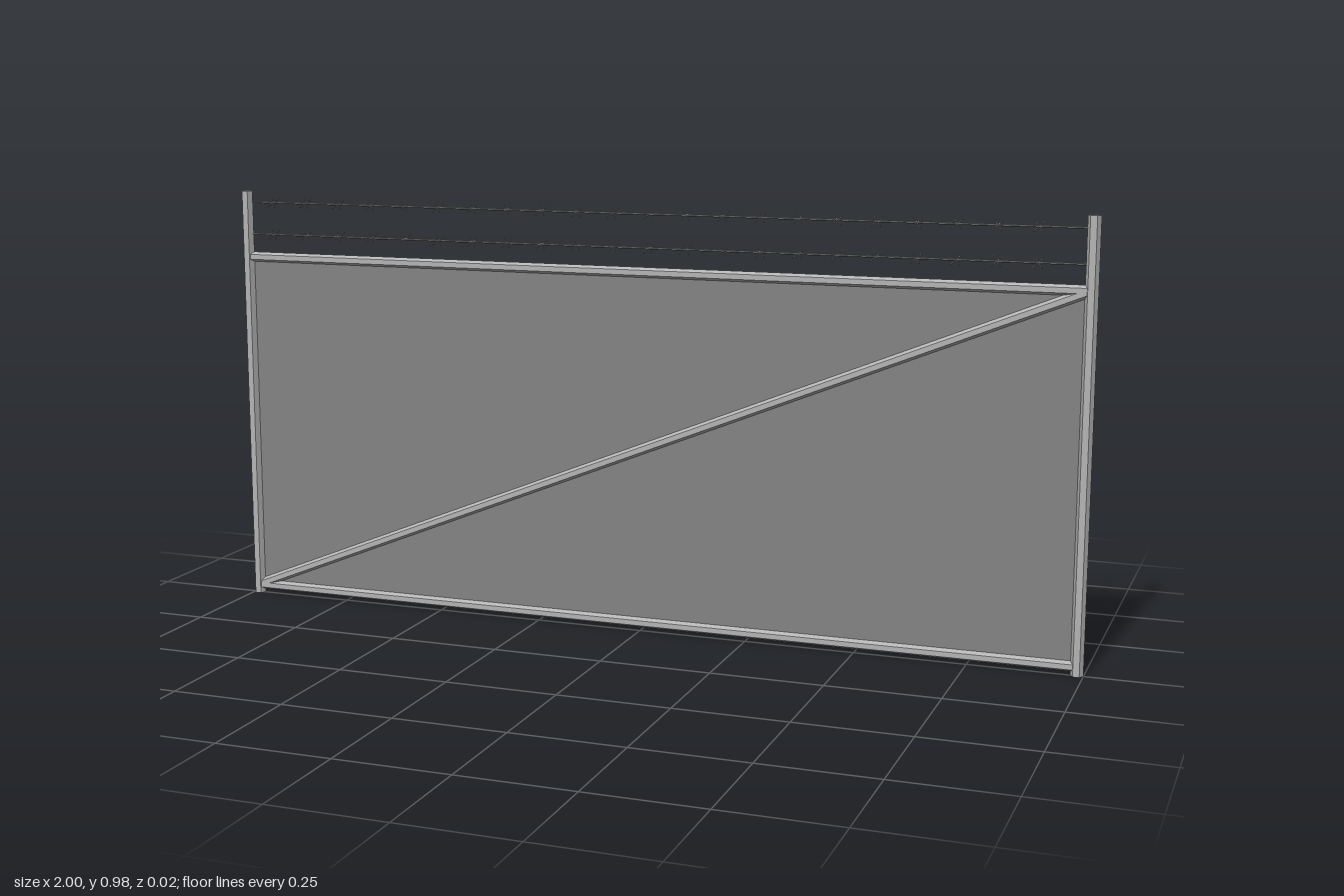
import * as THREE from 'three';

const steel = new THREE.MeshStandardMaterial({ color: 0xb4b4b4 });
steel.name = 'galvanised steel';
const mesh = new THREE.MeshStandardMaterial({ color: 0x848484, side: THREE.DoubleSide });
mesh.name = 'wire mesh grey';
const wireGrey = new THREE.MeshStandardMaterial({ color: 0x808080 });
wireGrey.name = 'barbed wire grey';

const UP = new THREE.Vector3(0, 1, 0);

// Faceted rod between two points, with flat faces towards the front and back
function rod(name, from, to, radius, material, sides = 6) {
  const a = new THREE.Vector3(...from);
  const b = new THREE.Vector3(...to);
  const dir = b.clone().sub(a);
  const geometry = new THREE.CylinderGeometry(radius, radius, dir.length(), sides)
    .rotateY(Math.PI / sides)
    .toNonIndexed();
  geometry.computeVertexNormals();
  const part = new THREE.Mesh(geometry, material);
  part.name = name;
  part.position.copy(a).add(b).multiplyScalar(0.5);
  part.quaternion.setFromUnitVectors(UP, dir.normalize());
  return part;
}

export function createModel() {
  const fence = new THREE.Group();
  fence.name = 'fencePanel';

  const postX = 0.986, postHeight = 0.975;
  const railLow = 0.02, railHigh = 0.82;

  // Posts
  for (const [name, side] of [['leftPost', 1], ['rightPost', -1]]) {
    fence.add(rod(name, [side * postX, 0, 0], [side * postX, postHeight, 0], 0.014, steel));
  }

  // Horizontal rails and diagonal brace
  fence.add(rod('topRail', [-postX, railHigh, 0], [postX, railHigh, 0], 0.0115, steel));
  fence.add(rod('bottomRail', [-postX, railLow, 0], [postX, railLow, 0], 0.0115, steel));
  fence.add(rod('diagonalBrace', [-postX, railLow, 0], [postX, railHigh, 0], 0.0115, steel));

  // Mesh infill sheet
  const sheet = new THREE.Mesh(
    new THREE.PlaneGeometry(postX * 2, railHigh - railLow), mesh);
  sheet.name = 'meshSheet';
  sheet.position.y = (railHigh + railLow) / 2;
  fence.add(sheet);

  // Barbed wire strands with crossed, tilted barbs
  for (const [name, y] of [['lowerStrand', 0.874], ['upperStrand', 0.949]]) {
    const strand = new THREE.Group();
    strand.name = name;
    strand.add(rod('wire', [-postX, y, 0], [postX, y, 0], 0.0025, wireGrey));
    for (let i = 0; i < 22; i++) {
      const x = -0.917 + i * 0.0853, s = 0.01;
      for (const d of [-s, s]) {
        strand.add(rod('barb', [x - d, y - s, s], [x + d, y + s, -s], 0.0013, wireGrey, 4));
      }
    }
    fence.add(strand);
  }

  return fence;
}
